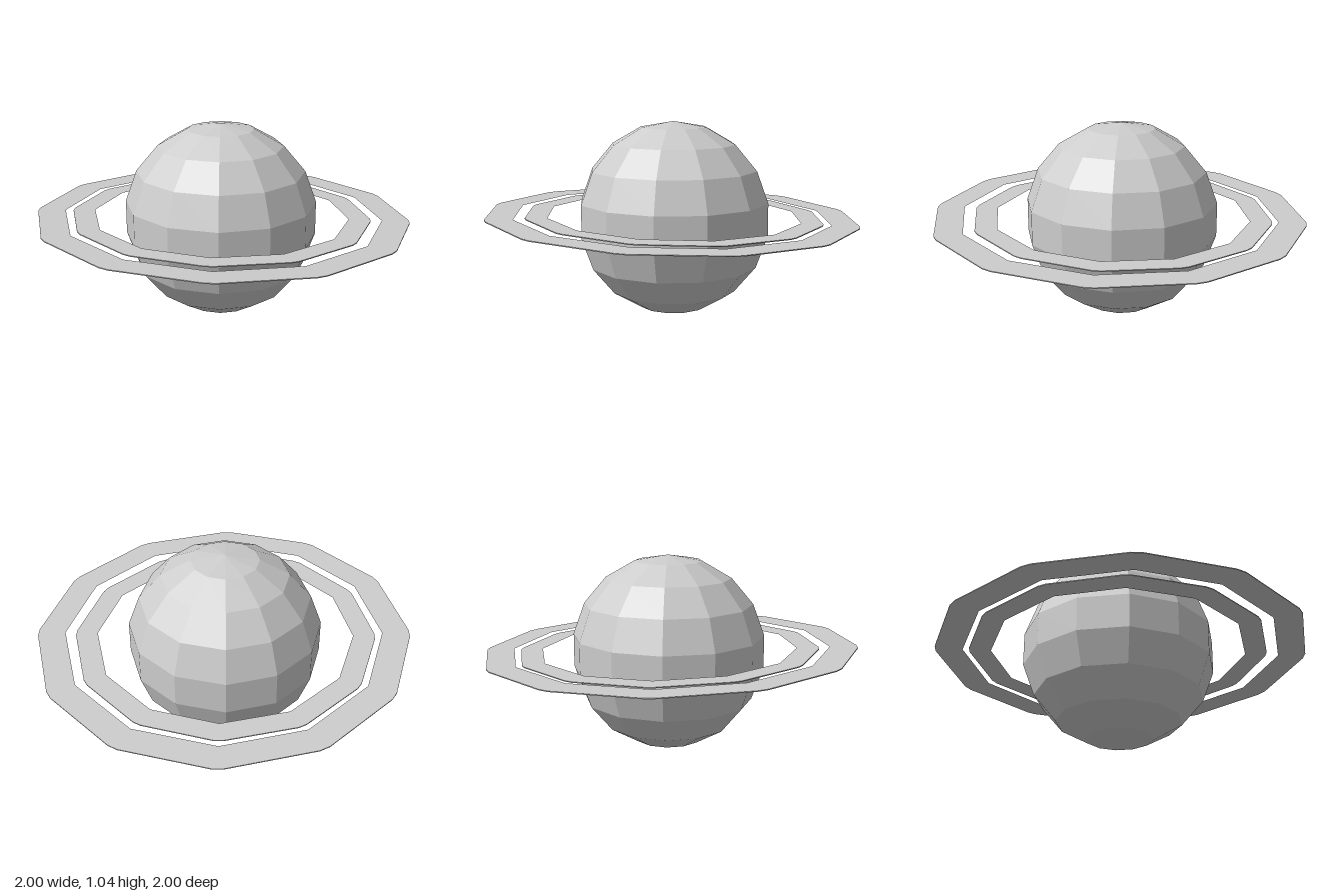
import * as THREE from 'three';

const grey = new THREE.MeshStandardMaterial({ color: 0xcccccc, flatShading: true });
grey.name = 'stone grey';

const SIDES = 12;
const THICKNESS = 0.005;

// Points of a twelve-sided outline; a non-zero cut clips each corner slightly
function outline(radius, turn, cut) {
  const points = [];
  for (let i = 0; i < SIDES; i++) {
    for (const offset of cut ? [-cut, cut] : [0]) {
      const a = THREE.MathUtils.degToRad(90 - (i * 30 + turn + offset));
      points.push(new THREE.Vector2(radius * Math.cos(a), radius * Math.sin(a)));
    }
  }
  return points;
}

// Thin flat ring, lying level and centred on its own thickness
function makeRing(name, outer, inner, turn, x, z) {
  const shape = new THREE.Shape(outline(outer, turn, 1.6));
  shape.holes.push(new THREE.Path(outline(inner, turn, 0)));
  const geometry = new THREE.ExtrudeGeometry(shape, { depth: THICKNESS, bevelEnabled: false });
  geometry.translate(0, 0, -THICKNESS / 2);
  geometry.rotateX(-Math.PI / 2);
  const ring = new THREE.Mesh(geometry, grey);
  ring.name = name;
  ring.position.set(x, 0, z);
  return ring;
}

export function createModel() {
  const model = new THREE.Group();
  model.name = 'ringedPlanet';

  // Faceted globe
  const globe = new THREE.Mesh(new THREE.SphereGeometry(0.52, SIDES, 9), grey);
  globe.name = 'globe';
  globe.position.set(-0.015, 0.52, -0.01);
  model.add(globe);

  // Two rings sharing a slight tilt, higher at the front
  const rings = new THREE.Group();
  rings.name = 'rings';
  rings.add(makeRing('outerRing', 1.0, 0.855, 2, 0, -0.004));
  rings.add(makeRing('innerRing', 0.803, 0.688, 2.8, -0.015, -0.012));
  rings.position.y = 0.531;
  rings.rotation.set(-0.027, 0, -0.005);
  model.add(rings);

  return model;
}
